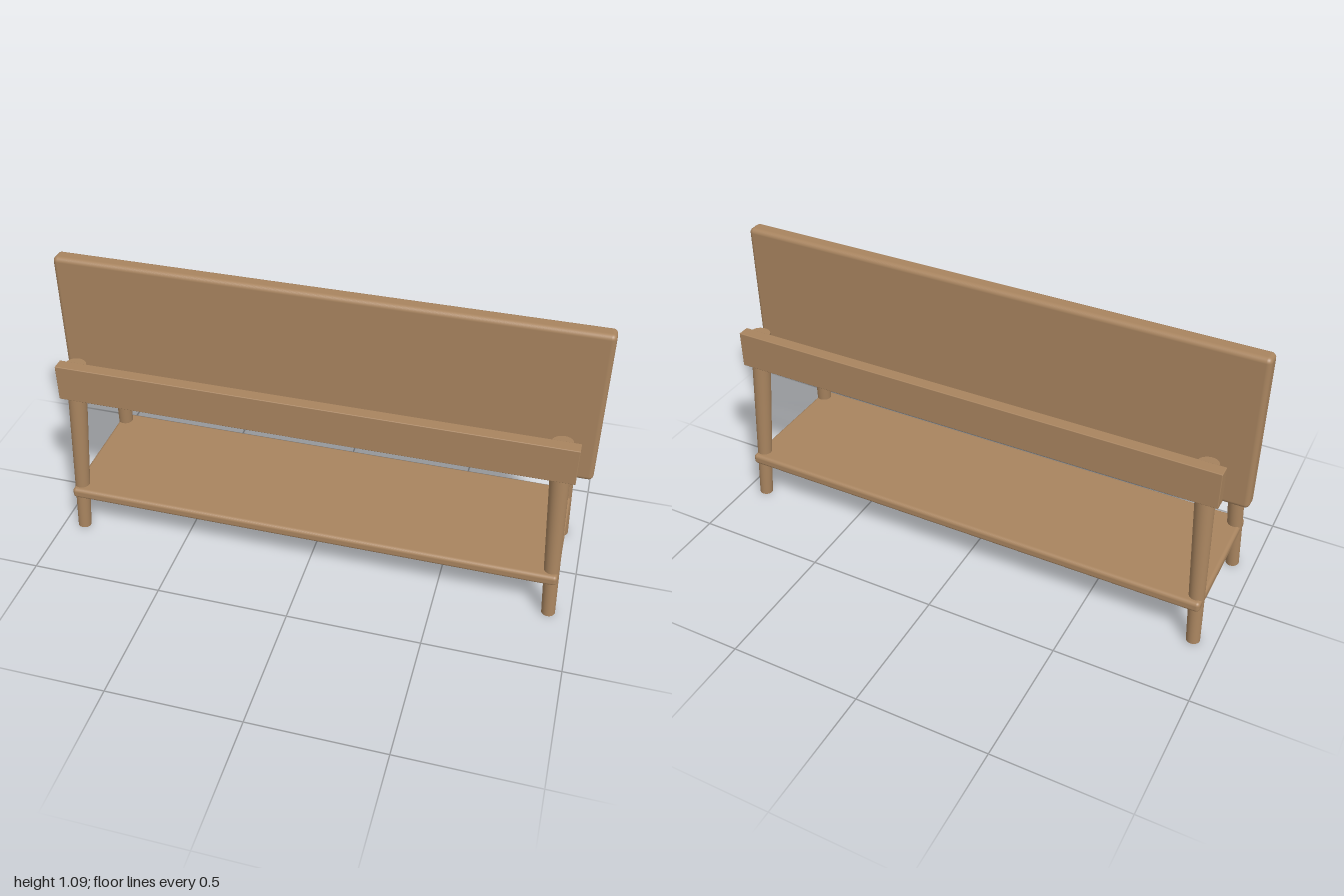
import * as THREE from 'three';
import { RoundedBoxGeometry } from 'three/addons/geometries/RoundedBoxGeometry.js';

export function createModel() {
  const bench = new THREE.Group();
  bench.name = 'bench';
  const wood = new THREE.MeshStandardMaterial({ color: 0xa8845f });
  wood.name = 'wood';

  // Board with softened edges, centred on the given point
  function board(name, size, radius, y, z = 0) {
    const mesh = new THREE.Mesh(new RoundedBoxGeometry(...size, 4, radius), wood);
    mesh.name = name;
    mesh.position.set(0, y, z);
    bench.add(mesh);
  }

  // Upright centre panel and low shelf
  board('centrePanel', [2, 0.608, 0.064], 0.018, 0.784);
  board('shelf', [1.87, 0.042, 0.522], 0.014, 0.183);

  // Front and back rails
  board('frontRail', [1.886, 0.142, 0.046], 0.003, 0.683, 0.207);
  board('backRail', [1.886, 0.142, 0.046], 0.003, 0.683, -0.207);

  // Tapered round legs, splayed outward toward the floor
  const up = new THREE.Vector3(0, 1, 0);
  for (const sx of [-1, 1]) {
    for (const sz of [-1, 1]) {
      const foot = new THREE.Vector3(sx * 0.92, 0.002, sz * 0.227);
      const top = new THREE.Vector3(sx * 0.88, 0.75, sz * 0.185);
      const axis = top.clone().sub(foot);
      const leg = new THREE.Mesh(new THREE.CylinderGeometry(0.037, 0.025, axis.length(), 32), wood);
      leg.name = (sz > 0 ? 'front' : 'back') + (sx > 0 ? 'Left' : 'Right') + 'Leg';
      leg.position.copy(foot).add(top).multiplyScalar(0.5);
      leg.quaternion.setFromUnitVectors(up, axis.normalize());
      bench.add(leg);
    }
  }
  return bench;
}
